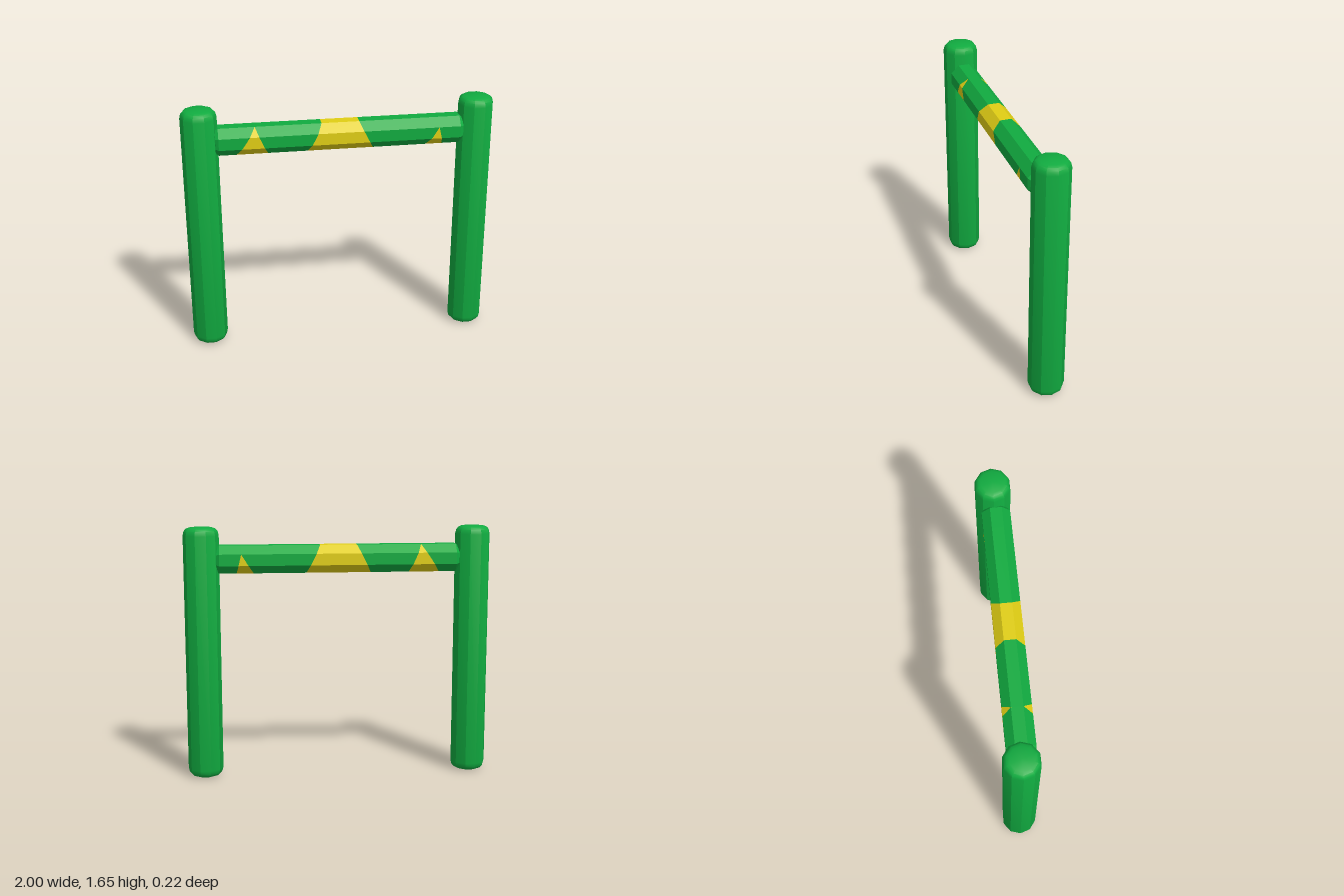
import * as THREE from 'three';
import { toCreasedNormals } from 'three/addons/utils/BufferGeometryUtils.js';

const green = new THREE.MeshStandardMaterial({ color: 0x11ab40 });
green.name = 'green paint';
const yellow = new THREE.MeshStandardMaterial({ color: 0xe0ce14 });
yellow.name = 'yellow paint';

const BAR = { y: 1.44, z: 0.01, r: 0.0974, end: 0.79, bevel: 0.02, endScale: 0.85, sides: 8 };

// Ten-sided post with rounded ends
function createPost(name, x) {
  const h = 1.65;
  const end = [[0, 0], [0.075, 0.004], [0.095, 0.012], [0.108, 0.027], [0.115, 0.055]];
  const profile = [
    ...end.map(([r, y]) => new THREE.Vector2(r, y)),
    ...end.slice().reverse().map(([r, y]) => new THREE.Vector2(r, h - y)),
  ];
  const geometry = toCreasedNormals(new THREE.LatheGeometry(profile, 10, Math.PI / 2), 0.55);
  const post = new THREE.Mesh(geometry, green);
  post.name = name;
  post.position.x = x;
  return post;
}

// Where the colour changes along the bar, by height: the yellow patches widen downwards
function columns(y) {
  const t = (1.53 - y) / 0.18;
  const s = Math.max(0, (1.477 - y) / 0.127);
  const shoulder = BAR.end - BAR.bevel;
  return [
    -BAR.end, -shoulder,
    -0.54 - 0.12 * t, -0.54 + 0.08 * t,
    -0.12 - 0.09 * t, 0.12 + 0.09 * t,
    0.63 - 0.08 * s, 0.63 + 0.03 * s,
    shoulder, BAR.end,
  ];
}

// Points along one long edge of the eight-sided bar
function barEdge(i) {
  const a = ((i + 0.5) / BAR.sides) * Math.PI * 2;
  const xs = columns(BAR.y + BAR.r * Math.sin(a));
  return xs.map((x, k) => {
    const r = BAR.r * (k === 0 || k === xs.length - 1 ? BAR.endScale : 1);
    return new THREE.Vector3(x, BAR.y + r * Math.sin(a), BAR.z + r * Math.cos(a));
  });
}

function createBar() {
  const bar = new THREE.Group();
  bar.name = 'crossbar';
  const greenPoints = [];
  const yellowPoints = [];
  const patches = [2, 4, 6];

  const addTriangle = (list, a, b, c) => {
    const area = b.clone().sub(a).cross(c.clone().sub(a)).length();
    if (area > 1e-7) list.push(a, b, c);
  };

  for (let i = 0; i < BAR.sides; i++) {
    const lower = barEdge(i);
    const upper = barEdge(i + 1);
    for (let k = 0; k < lower.length - 1; k++) {
      const list = patches.includes(k) ? yellowPoints : greenPoints;
      addTriangle(list, lower[k], lower[k + 1], upper[k + 1]);
      addTriangle(list, lower[k], upper[k + 1], upper[k]);
    }
  }

  const addSkin = (name, points, material) => {
    const geometry = new THREE.BufferGeometry().setFromPoints(points);
    geometry.computeVertexNormals();
    const mesh = new THREE.Mesh(geometry, material);
    mesh.name = name;
    bar.add(mesh);
  };
  addSkin('barSkin', greenPoints, green);
  addSkin('yellowPatches', yellowPoints, yellow);

  // Flat ends
  for (const side of [-1, 1]) {
    const cap = new THREE.Mesh(
      new THREE.CircleGeometry(BAR.r * BAR.endScale, BAR.sides, Math.PI / BAR.sides), green);
    cap.name = side > 0 ? 'leftBarEnd' : 'rightBarEnd';
    cap.rotation.y = side * Math.PI / 2;
    cap.position.set(side * BAR.end, BAR.y, BAR.z);
    bar.add(cap);
  }
  return bar;
}

export function createModel() {
  const model = new THREE.Group();
  model.name = 'hurdle';
  model.add(createPost('leftPost', 0.885), createPost('rightPost', -0.885), createBar());
  return model;
}
